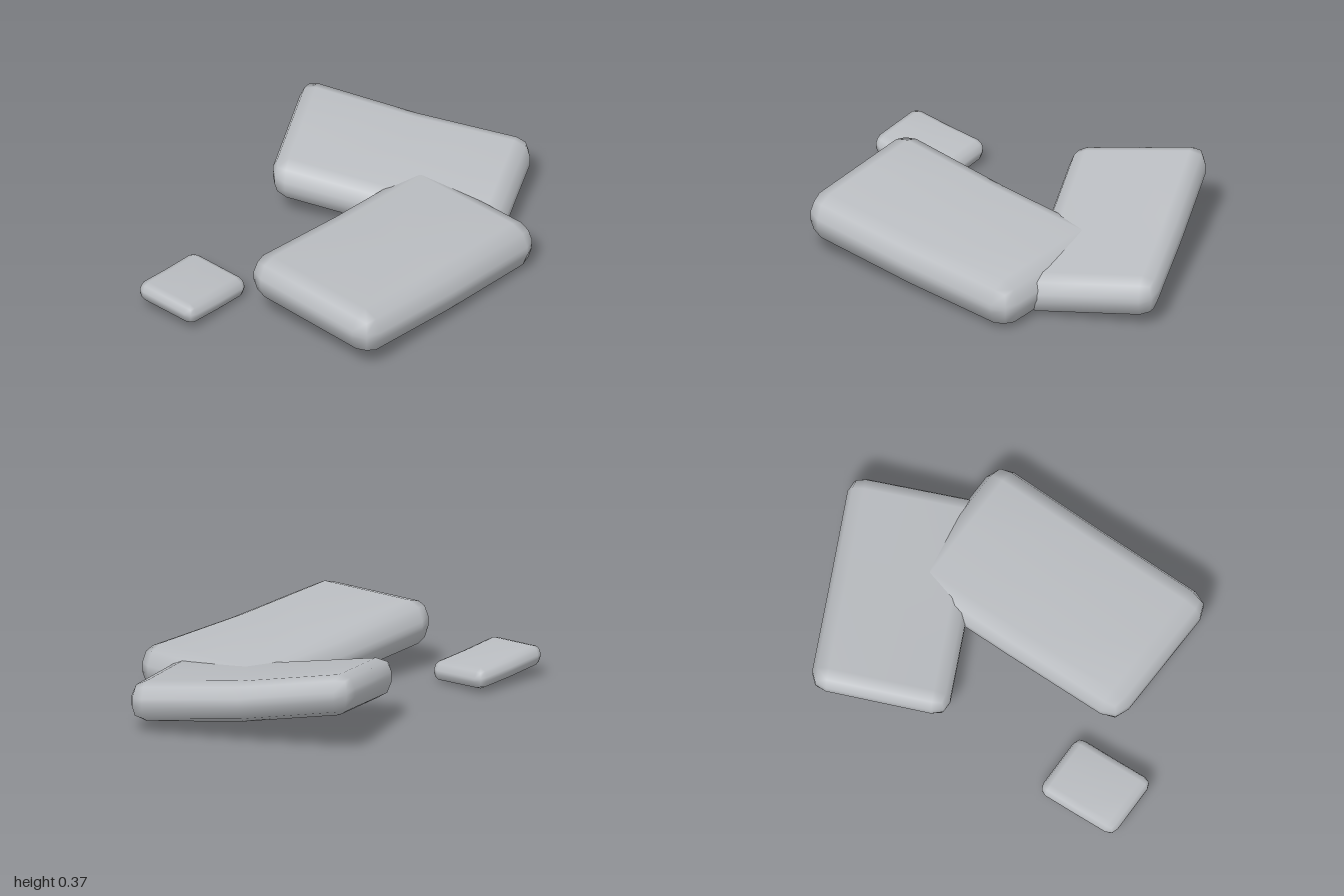
import * as THREE from 'three';
import { mergeVertices } from 'three/addons/utils/BufferGeometryUtils.js';

// Grid stops along one axis: bevel, flat, middle, flat, bevel
const stops = (half, r) => [-half, r - half, 0, half - r, half];

// Rounded low-poly slab bent at its middle, its top following four corner heights:
// tops = [back left, back right, front left, front right] in the slab's own axes
function slabGeometry({ length, width, thick, r, ry, angle, at, tops, sag }) {
  const hx = length / 2, hy = thick / 2, hz = width / 2;
  const gx = stops(hx, r), gy = stops(hy, ry), gz = stops(hz, r);
  let geo = new THREE.BoxGeometry(4, 4, 4, 4, 4, 4);
  geo.deleteAttribute('uv');
  geo.deleteAttribute('normal');
  geo = mergeVertices(geo);
  const pos = geo.attributes.position;
  const c = Math.cos(angle), s = Math.sin(angle);
  const inner = new THREE.Vector3(), d = new THREE.Vector3();
  for (let i = 0; i < pos.count; i++) {
    const x = gx[Math.round(pos.getX(i)) + 2];
    const y = gy[Math.round(pos.getY(i)) + 2];
    const z = gz[Math.round(pos.getZ(i)) + 2];
    // Round the edges with an ellipsoidal bevel
    inner.set(
      THREE.MathUtils.clamp(x, r - hx, hx - r),
      THREE.MathUtils.clamp(y, ry - hy, hy - ry),
      THREE.MathUtils.clamp(z, r - hz, hz - r));
    d.set((x - inner.x) / r, (y - inner.y) / ry, (z - inner.z) / r).normalize();
    const px = inner.x + d.x * r, py = inner.y + d.y * ry, pz = inner.z + d.z * r;
    // Tilt and sag
    const p = px / hx, tx = (p + 1) / 2, tz = (pz / hz + 1) / 2;
    const back = THREE.MathUtils.lerp(tops[0], tops[1], tx);
    const front = THREE.MathUtils.lerp(tops[2], tops[3], tx);
    const top = THREE.MathUtils.lerp(back, front, tz) - sag * (1 - p * p);
    // Turn about the vertical and place
    pos.setXYZ(i, at[0] + px * c + pz * s, top - hy + py, at[1] - px * s + pz * c);
  }
  geo.computeVertexNormals();
  return geo;
}

export function createModel() {
  const group = new THREE.Group();
  const stone = new THREE.MeshStandardMaterial({ color: 0xbabdc1 });
  stone.name = 'light grey stone';
  const deg = Math.PI / 180;

  const slabs = {
    frontSlab: {
      length: 1.19, width: 0.725, thick: 0.222, r: 0.09, ry: 0.09,
      angle: 24.8 * deg, at: [0.095, 0.312], tops: [0.342, 0.232, 0.295, 0.214], sag: 0.014,
    },
    backSlab: {
      length: 1.07, width: 0.63, thick: 0.192, r: 0.075, ry: 0.075,
      angle: -39 * deg, at: [0.424, -0.321], tops: [0.39, 0.238, 0.305, 0.18], sag: 0.022,
    },
    smallSlab: {
      length: 0.405, width: 0.318, thick: 0.098, r: 0.04, ry: 0.04,
      angle: 26.5 * deg, at: [-0.767, 0.027], tops: [0.152, 0.112, 0.135, 0.092], sag: 0.004,
    },
  };
  for (const [name, spec] of Object.entries(slabs)) {
    const mesh = new THREE.Mesh(slabGeometry(spec), stone);
    mesh.name = name;
    group.add(mesh);
  }
  return group;
}
